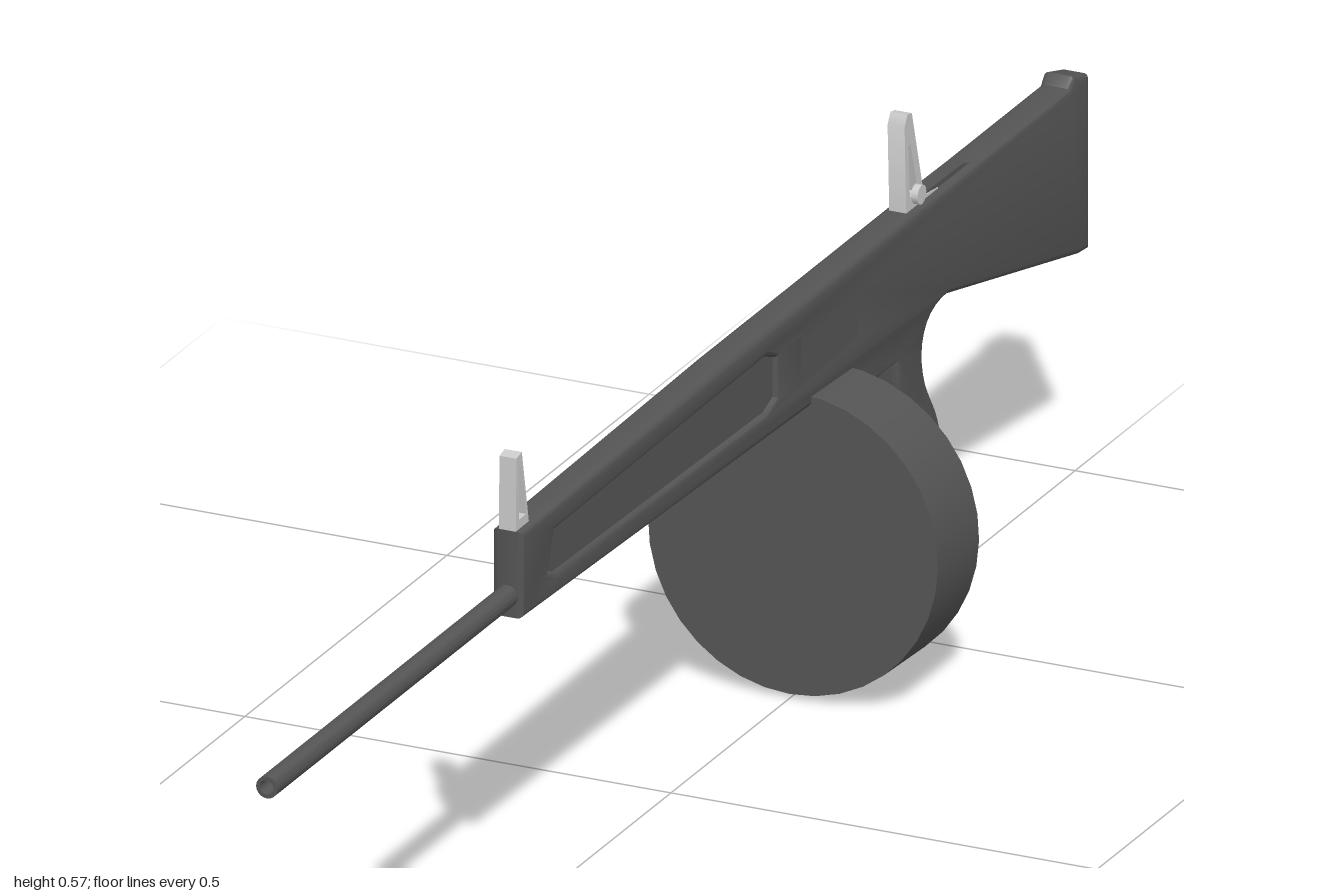
import * as THREE from 'three';
import { toCreasedNormals } from 'three/addons/utils/BufferGeometryUtils.js';

const dark = new THREE.MeshStandardMaterial({ color: 0x555555 });
const grey = new THREE.MeshStandardMaterial({ color: 0xcccccc });

// Closed outline from [z, y] points
const outline = (pts, Type = THREE.Shape) => new Type(pts.map(([z, y]) => new THREE.Vector2(z, y)));

// Extrudes a side profile (z, y) to a width centred on x = 0
function slab(shape, width, bevel = 0) {
  const geo = new THREE.ExtrudeGeometry(shape, {
    depth: width - 2 * bevel, bevelEnabled: bevel > 0, bevelSize: bevel,
    bevelThickness: bevel, bevelOffset: -bevel, bevelSegments: 3, curveSegments: 10,
  });
  geo.translate(0, 0, -(width - 2 * bevel) / 2).rotateY(-Math.PI / 2);
  return toCreasedNormals(geo, 0.6);
}

// Receiver, stock and grip in one side profile
function bodyShape() {
  const s = new THREE.Shape();
  s.moveTo(0.405, 0.353);
  s.lineTo(0.405, 0.452);
  s.lineTo(-0.1, 0.46);
  s.lineTo(-0.95, 0.46);
  s.lineTo(-0.96, 0.471);
  s.lineTo(-0.998, 0.46);
  s.lineTo(-0.998, 0.26);
  s.lineTo(-0.975, 0.262);
  s.lineTo(-0.65, 0.336);
  s.bezierCurveTo(-0.59, 0.338, -0.575, 0.3, -0.595, 0.255);
  s.bezierCurveTo(-0.61, 0.225, -0.635, 0.21, -0.636, 0.15);
  s.lineTo(-0.567, 0.127);
  s.bezierCurveTo(-0.59, 0.17, -0.565, 0.205, -0.545, 0.23);
  s.bezierCurveTo(-0.525, 0.255, -0.525, 0.28, -0.522, 0.303);
  s.lineTo(-0.415, 0.303);
  s.lineTo(-0.4, 0.328);
  s.lineTo(-0.3, 0.333);
  s.closePath();
  return s;
}

export function createModel() {
  const model = new THREE.Group();
  const add = (name, geo, material = dark, parent = model) => {
    const mesh = new THREE.Mesh(geo, material);
    mesh.name = name;
    parent.add(mesh);
    return mesh;
  };
  const box = (name, w, h, d, x, y, z, mat) => {
    const m = add(name, new THREE.BoxGeometry(w, h, d), mat);
    m.position.set(x, y, z);
    return m;
  };
  const tube = (name, pts, r) => {
    const path = new THREE.CurvePath();
    const v = pts.map(([z, y]) => new THREE.Vector3(0, y, z));
    for (let i = 1; i < v.length; i++) path.add(new THREE.LineCurve3(v[i - 1], v[i]));
    add(name, new THREE.TubeGeometry(path, 24, r, 8));
  };

  // Body shell with handguard recesses and ejection port
  const shell = bodyShape();
  shell.holes.push(
    outline([[0.34, 0.384], [0.325, 0.425], [-0.2, 0.43], [-0.225, 0.42], [-0.225, 0.375], [-0.2, 0.366], [0.32, 0.376]], THREE.Path),
    outline([[-0.29, 0.375], [-0.29, 0.415], [-0.42, 0.415], [-0.42, 0.375]], THREE.Path),
  );
  add('bodyShell', slab(shell, 0.036, 0.006));
  // Recess floors, and the plate that closes the port on the left side
  add('handguardCore', slab(outline([[0.36, 0.37], [0.36, 0.435], [-0.24, 0.44], [-0.24, 0.355]]), 0.025));
  box('portFloor', 0.014, 0.06, 0.16, 0, 0.395, -0.355);
  box('portCover', 0.017, 0.056, 0.146, 0.0093, 0.395, -0.355);

  // Charging handle on the right side
  const handle = add('chargingHandle', new THREE.CylinderGeometry(0.0085, 0.0085, 0.045, 14));
  handle.rotation.z = Math.PI / 2;
  handle.position.set(-0.0275, 0.386, -0.335);

  // Hollow barrel
  const barrel = add('barrel', toCreasedNormals(new THREE.LatheGeometry(
    [[0.008, 0.9], [0.008, 1], [0.0125, 1], [0.0125, 0.38]].map(([r, z]) => new THREE.Vector2(r, z)), 20), 0.6));
  barrel.material = new THREE.MeshStandardMaterial({ color: 0x555555, side: THREE.DoubleSide });
  barrel.rotation.x = Math.PI / 2;
  barrel.position.y = 0.377;

  // Drum magazine, tilted slightly
  const drum = add('drumMagazine', new THREE.CylinderGeometry(0.17, 0.17, 0.102, 36));
  drum.rotation.x = Math.PI / 2 - 0.045;
  drum.position.set(0, 0.174, -0.353);
  const strip = box('magazineSupport', 0.02, 0.23, 0.012, 0, 0.2, -0.409);
  strip.rotation.x = -0.045;

  // Trigger, guard and the brace below the grip
  tube('gripBrace', [[-0.4, 0.092], [-0.515, 0.092], [-0.6, 0.137]], 0.005);
  box('triggerGuard', 0.02, 0.008, 0.125, 0, 0.25, -0.475);
  box('guardFront', 0.02, 0.06, 0.008, 0, 0.278, -0.42);
  const trigger = new THREE.Shape();
  trigger.moveTo(-0.475, 0.31);
  trigger.quadraticCurveTo(-0.5, 0.285, -0.48, 0.258);
  trigger.lineTo(-0.49, 0.258);
  trigger.quadraticCurveTo(-0.515, 0.285, -0.5, 0.31);
  add('trigger', slab(trigger, 0.012));

  // Front sight: triangular post with an opening
  const front = outline([[0.405, 0.44], [0.403, 0.535], [0.39, 0.538], [0.37, 0.44]]);
  front.holes.push(outline([[0.397, 0.463], [0.396, 0.522], [0.391, 0.522], [0.379, 0.463]], THREE.Path));
  add('frontSight', slab(front, 0.02), grey);

  // Rear sight: leaf and sloping brace on a low base
  const rear = outline([[-0.562, 0.44], [-0.557, 0.56], [-0.564, 0.572], [-0.575, 0.57], [-0.605, 0.465], [-0.64, 0.461], [-0.64, 0.44]]);
  rear.holes.push(outline([[-0.57, 0.475], [-0.567, 0.535], [-0.572, 0.535], [-0.59, 0.475]], THREE.Path));
  add('rearSight', slab(rear, 0.02), grey);
  add('rearSightBase', slab(outline([[-0.6, 0.45], [-0.61, 0.466], [-0.7, 0.465], [-0.74, 0.455]]), 0.018));
  const knob = add('rearSightKnob', new THREE.CylinderGeometry(0.011, 0.011, 0.008, 14), grey);
  knob.rotation.z = Math.PI / 2;
  knob.position.set(0.013, 0.474, -0.585);

  // Butt plate
  box('buttPlate', 0.03, 0.19, 0.006, 0, 0.36, -0.997);
  return model;
}
